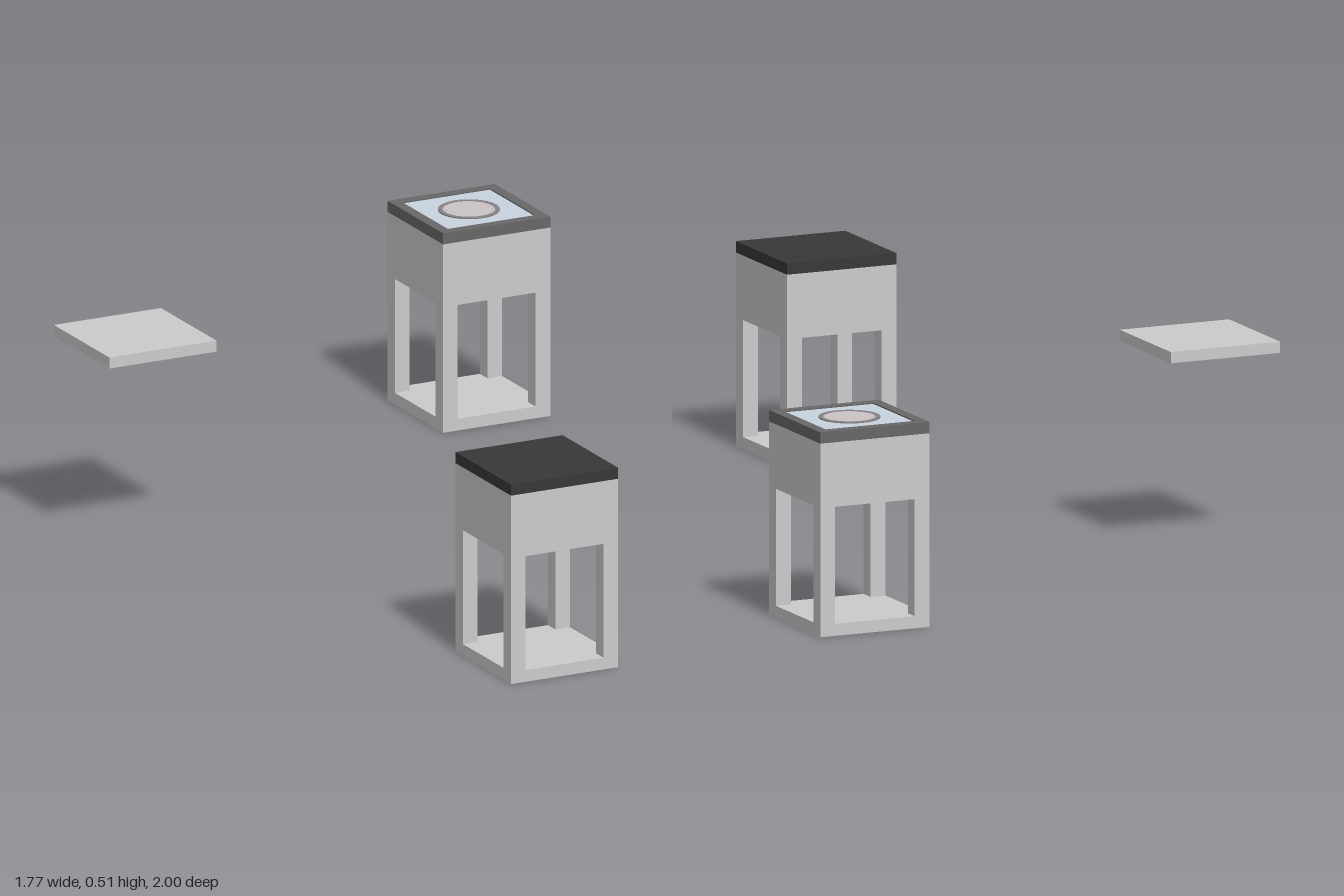
import * as THREE from 'three';

const SIDE = 0.293, HALF = SIDE / 2;
const POST = 0.04, INNER = HALF - POST;
const FLOOR = 0.03, LINTEL = 0.32, TOP = 0.48, CAP = 0.028;

const mat = (color) => new THREE.MeshStandardMaterial({ color, flatShading: true });
const grey = mat(0xcccccc), dark = mat(0x686868), black = mat(0x383838);
const glass = mat(0xc9d4de), ringGrey = mat(0x858585), pink = mat(0xcfbcc6), pale = mat(0xcbc6c5);

function add(parent, name, geometry, material, x = 0, y = 0, z = 0) {
  const mesh = new THREE.Mesh(geometry, material);
  mesh.name = name;
  mesh.position.set(x, y, z);
  parent.add(mesh);
  return mesh;
}

// Flat ring lying in the xz plane, extruded upward
function ringPlate(shape, hole, height) {
  shape.holes.push(hole);
  return new THREE.ExtrudeGeometry(shape, { depth: height, bevelEnabled: false, curveSegments: 32 })
    .rotateX(-Math.PI / 2);
}
const square = (h) => new THREE.Shape([[-h, -h], [h, -h], [h, h], [-h, h]].map(([x, y]) => new THREE.Vector2(x, y)));
const circle = (r) => new THREE.Shape().absarc(0, 0, r, 0, Math.PI * 2, false);

function body() {
  const g = new THREE.Group();
  g.name = 'towerBody';
  add(g, 'floor', new THREE.BoxGeometry(SIDE, FLOOR, SIDE), grey, 0, FLOOR / 2, 0);
  // Corner posts leave an opening on each side
  const post = new THREE.BoxGeometry(POST, LINTEL - FLOOR, POST);
  const p = HALF - POST / 2;
  for (const x of [-p, p]) for (const z of [-p, p]) add(g, 'cornerPost', post, grey, x, (LINTEL + FLOOR) / 2, z);
  // Upper block with a pyramid-shaped hollow underneath
  const r = Math.SQRT2;
  const profile = [[0, TOP - 0.005], [INNER * r, LINTEL], [HALF * r, LINTEL], [HALF * r, TOP], [0, TOP]]
    .map(([x, y]) => new THREE.Vector2(x, y));
  add(g, 'upperBlock', new THREE.LatheGeometry(profile, 4).rotateY(Math.PI / 4), grey);
  return g;
}

// Framed pale panel with a round fitting in the middle
function panelTop() {
  const g = new THREE.Group();
  g.name = 'panelTop';
  add(g, 'topFrame', ringPlate(square(HALF), square(HALF - 0.027), CAP), dark, 0, TOP, 0);
  const h = CAP - 0.003;
  add(g, 'panel', new THREE.BoxGeometry(SIDE - 0.054, h, SIDE - 0.054), glass, 0, TOP + h / 2, 0);
  const y = TOP + h;
  add(g, 'outerRing', ringPlate(circle(0.075), circle(0.064), 0.003), ringGrey, 0, y, 0);
  add(g, 'innerRing', ringPlate(circle(0.064), circle(0.057), 0.002), pink, 0, y, 0);
  add(g, 'centreDisc', new THREE.CylinderGeometry(0.057, 0.057, 0.002, 32), pale, 0, y + 0.001, 0);
  return g;
}

export function createModel() {
  const model = new THREE.Group();
  const place = (name, x, z) => {
    const g = new THREE.Group();
    g.name = name;
    g.position.set(x, 0, z);
    g.rotation.y = -Math.PI / 6;
    model.add(g);
    return g;
  };
  const slab = new THREE.BoxGeometry(SIDE, CAP, SIDE);

  const panelTower = place('panelTower', -0.535, -0.8);
  panelTower.add(body(), panelTop());

  const cappedTower = place('cappedTower', 0.682, 0.8);
  cappedTower.add(body());
  add(cappedTower, 'blackCap', slab, black, 0, TOP + CAP / 2, 0);

  // Separate lid at roof height
  add(place('looseLid', -0.685, 0.47), 'lid', slab, grey, 0, TOP + CAP / 2, 0);
  return model;
}
